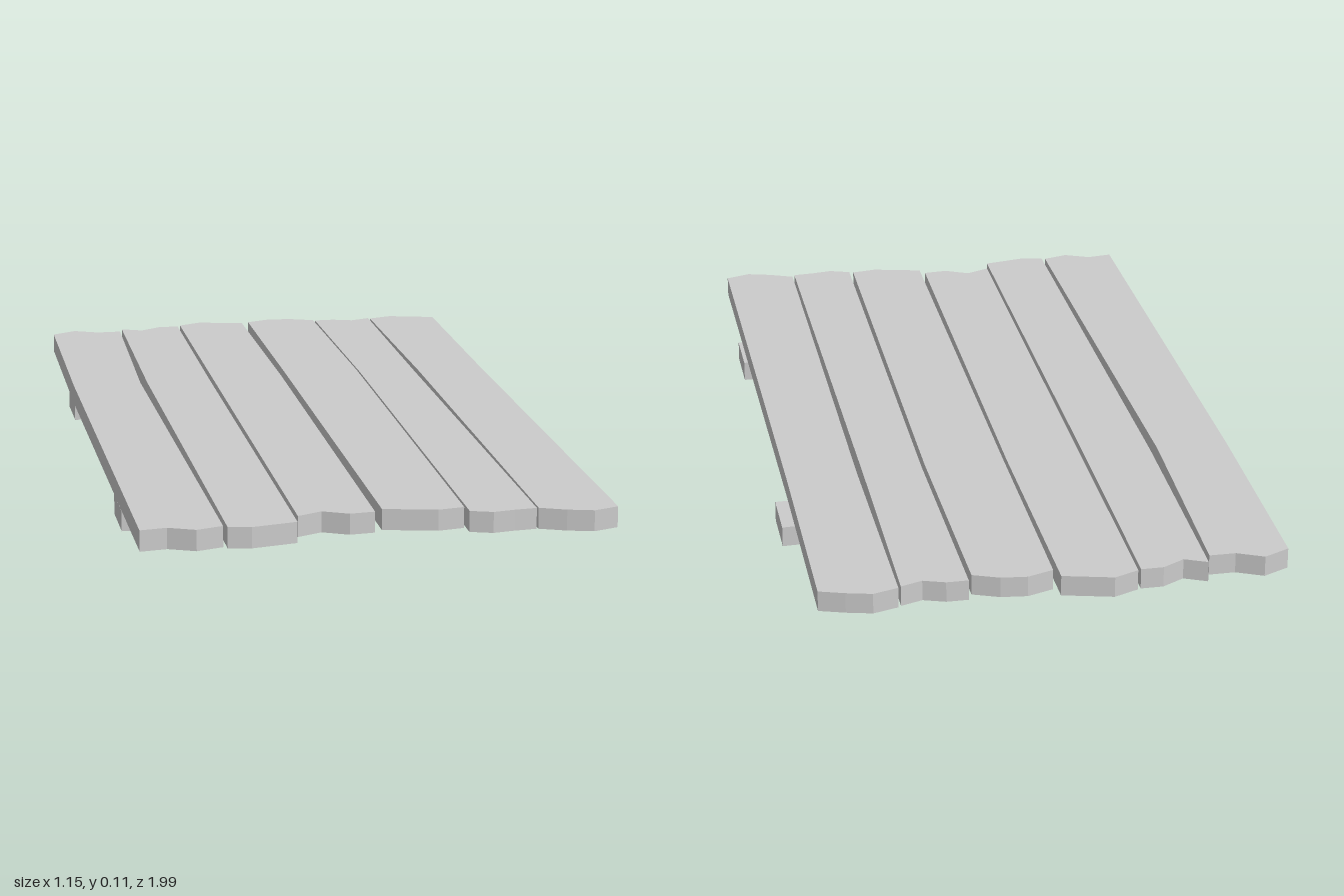
import * as THREE from 'three';

const material = new THREE.MeshStandardMaterial({ color: 0xcccccc, flatShading: true });
const thickness = 0.051;

// Board of constant thickness cut from an outline of [x, z] points
function board(name, outline, top) {
  const shape = new THREE.Shape(outline.map(([x, z]) => new THREE.Vector2(x, z)));
  const geometry = new THREE.ExtrudeGeometry(shape, { depth: thickness, bevelEnabled: false });
  geometry.rotateX(Math.PI / 2); // outline y becomes z, depth runs downwards
  geometry.translate(0, top, 0);
  const mesh = new THREE.Mesh(geometry, material);
  mesh.name = name;
  return mesh;
}

// Plank with ragged ends and a slight bend in both long edges.
// left, right: x at the ends and at the bend; back, front: z from left to right
function plank(name, { top, left, right, back, front }) {
  const ragged = (zs) => zs.map((z, k) => [THREE.MathUtils.lerp(left[0], right[0], k / (zs.length - 1)), z]);
  const bendZ = -0.35;
  const outline = [...ragged(back), [right[1], bendZ], ...ragged(front).reverse(), [left[1], bendZ]];
  return board(name, outline, top);
}

// Gently S-curved cross batten lying on the ground
function batten(name, from, to, centreZ, sway) {
  const halfWidth = 0.07;
  const steps = 8;
  const edge = (offset) => Array.from({ length: steps + 1 }, (_, k) => {
    const x = THREE.MathUtils.lerp(from, to, k / steps);
    return [x, centreZ + sway * Math.sin(5 * x) + offset];
  });
  return board(name, [...edge(-halfWidth), ...edge(halfWidth).reverse()], thickness);
}

const planks = [
  { top: 0.102, left: [-0.572, -0.578], right: [-0.38, -0.398],
    back: [-0.935, -0.965, -0.935, -0.935], front: [0.945, 0.937, 0.965, 0.947] },
  { top: 0.101, left: [-0.371, -0.379], right: [-0.207, -0.209],
    back: [-0.965, -0.94, -0.97, -0.97], front: [0.955, 0.965, 0.955, 0.945] },
  { top: 0.102, left: [-0.199, -0.199], right: [-0.017, -0.011],
    back: [-0.975, -1, -0.985, -0.97], front: [0.905, 0.88, 0.91, 0.905] },
  { top: 0.109, left: [-0.002, 0], right: [0.189, 0.198],
    back: [-0.95, -0.972, -0.965, -0.94], front: [0.91, 0.925, 0.94, 0.93] },
  { top: 0.104, left: [0.198, 0.206], right: [0.357, 0.355],
    back: [-0.955, -0.955, -0.937, -0.955], front: [0.947, 0.965, 0.957, 0.953] },
  { top: 0.102, left: [0.363, 0.369], right: [0.548, 0.545],
    back: [-0.957, -0.975, -0.96, -0.94], front: [0.947, 0.973, 0.99, 0.97] },
];

export function createModel() {
  const group = new THREE.Group();
  group.name = 'plankPanel';
  planks.forEach((p, i) => group.add(plank(`plank${i + 1}`, p)));
  group.add(batten('backBatten', -0.574, 0.577, -0.443, 0.01));
  group.add(batten('frontBatten', -0.574, 0.557, 0.555, -0.009));
  return group;
}
